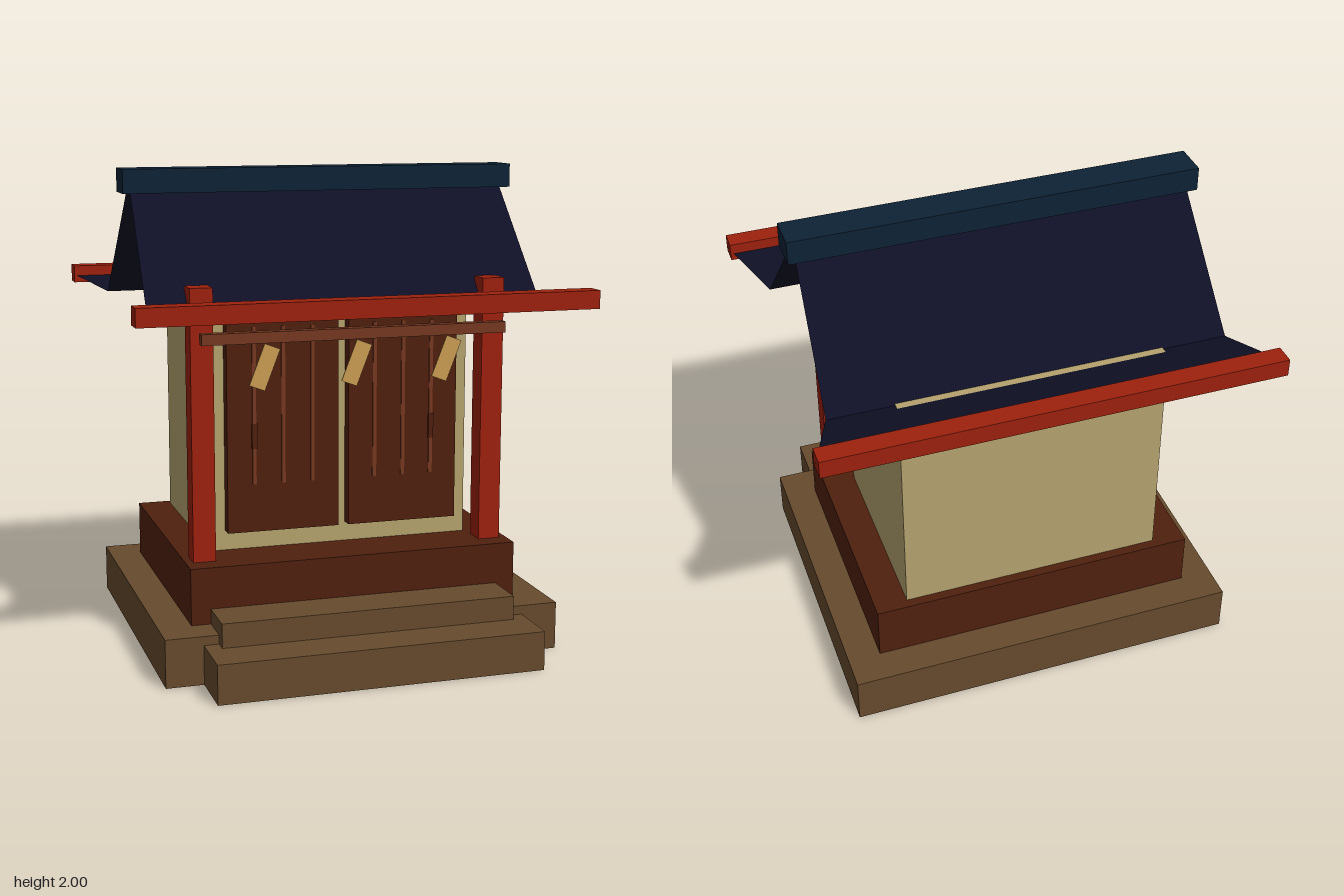
import * as THREE from 'three';

const mat = (name, color, side = THREE.FrontSide) => {
  const m = new THREE.MeshStandardMaterial({ color, side });
  m.name = name;
  return m;
};

export function createModel() {
  const group = new THREE.Group();
  const stone = mat('earthStone', 0x664a2d);
  const darkWood = mat('darkWood', 0x4f200e);
  const plaster = mat('plaster', 0xb5a26e);
  const red = mat('redPaint', 0x9c210d);
  const trim = mat('trimWood', 0x74371f);
  const paper = mat('tagWood', 0xc99c52);
  const roofBlue = mat('roofBlue', 0x0f0f25, THREE.DoubleSide);
  const ridgeBlue = mat('ridgeBlue', 0x0d2235);

  // Box given by its minimum and maximum on each axis
  const box = (name, m, [x0, x1], [y0, y1], [z0, z1]) => {
    const mesh = new THREE.Mesh(new THREE.BoxGeometry(x1 - x0, y1 - y0, z1 - z0), m);
    mesh.position.set((x0 + x1) / 2, (y0 + y1) / 2, (z0 + z1) / 2);
    mesh.name = name;
    group.add(mesh);
    return mesh;
  };

  // Base, steps, plinth and hall
  box('base', stone, [-0.835, 0.835], [0, 0.2], [-0.76, 0.635]);
  box('lowerStep', stone, [-0.68, 0.68], [0, 0.163], [0.6, 0.87]);
  box('upperStep', stone, [-0.618, 0.618], [0.1, 0.263], [0.45, 0.69]);
  box('plinth', darkWood, [-0.698, 0.698], [0.2, 0.435], [-0.62, 0.493]);
  box('hall', plaster, [-0.56, 0.56], [0.435, 1.442], [-0.58, 0.255]);

  for (const s of [-1, 1]) {
    box('post', red, [s * 0.62 - 0.047, s * 0.62 + 0.047], [0.435, 1.552], [0.31, 0.405]);

    // Door with three slats and a handle on the outer slat
    box('door', darkWood, [s * 0.26 - 0.238, s * 0.26 + 0.238], [0.518, 1.408], [0.25, 0.308]);
    for (const x of [0.135, 0.26, 0.384]) {
      box('doorSlat', trim, [s * x - 0.008, s * x + 0.008], [0.72, 1.375], [0.3, 0.313]);
    }
    box('doorHandle', darkWood, [s * 0.384 - 0.011, s * 0.384 + 0.011], [0.87, 0.975], [0.3, 0.317]);
  }

  // Hanging rail with slanted tags
  box('rail', trim, [-0.64, 0.64], [1.335, 1.38], [0.45, 0.493]);
  for (const x of [-0.386, -0.003, 0.382]) {
    const tag = box('tag', paper, [x - 0.034, x + 0.034], [1.15, 1.328], [0.488, 0.494]);
    tag.rotation.z = -0.37;
  }

  // Roof sheet: two slopes with flared eaves, as rows of [half width, y, z]
  const mid = -0.065;
  const rows = [
    [0.947, 1.49, mid + 0.76], [0.835, 1.437, mid + 0.465], [0.815, 1.95, mid],
    [0.835, 1.437, mid - 0.465], [0.947, 1.49, mid - 0.76],
  ];
  const pos = [];
  for (let i = 0; i < rows.length - 1; i++) {
    const [[w0, y0, z0], [w1, y1, z1]] = [rows[i], rows[i + 1]];
    pos.push(-w0, y0, z0, w0, y0, z0, w1, y1, z1);
    pos.push(-w0, y0, z0, w1, y1, z1, -w1, y1, z1);
  }
  const roofGeo = new THREE.BufferGeometry();
  roofGeo.setAttribute('position', new THREE.Float32BufferAttribute(pos, 3));
  roofGeo.computeVertexNormals();
  const roof = new THREE.Mesh(roofGeo, roofBlue);
  roof.name = 'roof';
  group.add(roof);

  // Ridge cap and eave beams
  box('ridgeCap', ridgeBlue, [-0.852, 0.852], [1.9, 2], [mid - 0.075, mid + 0.075]);
  for (const s of [-1, 1]) {
    const z = mid + s * 0.76;
    box('eaveBeam', red, [-0.944, 0.944], [1.452, 1.527], [z - 0.043, z + 0.043]);
  }
  return group;
}
